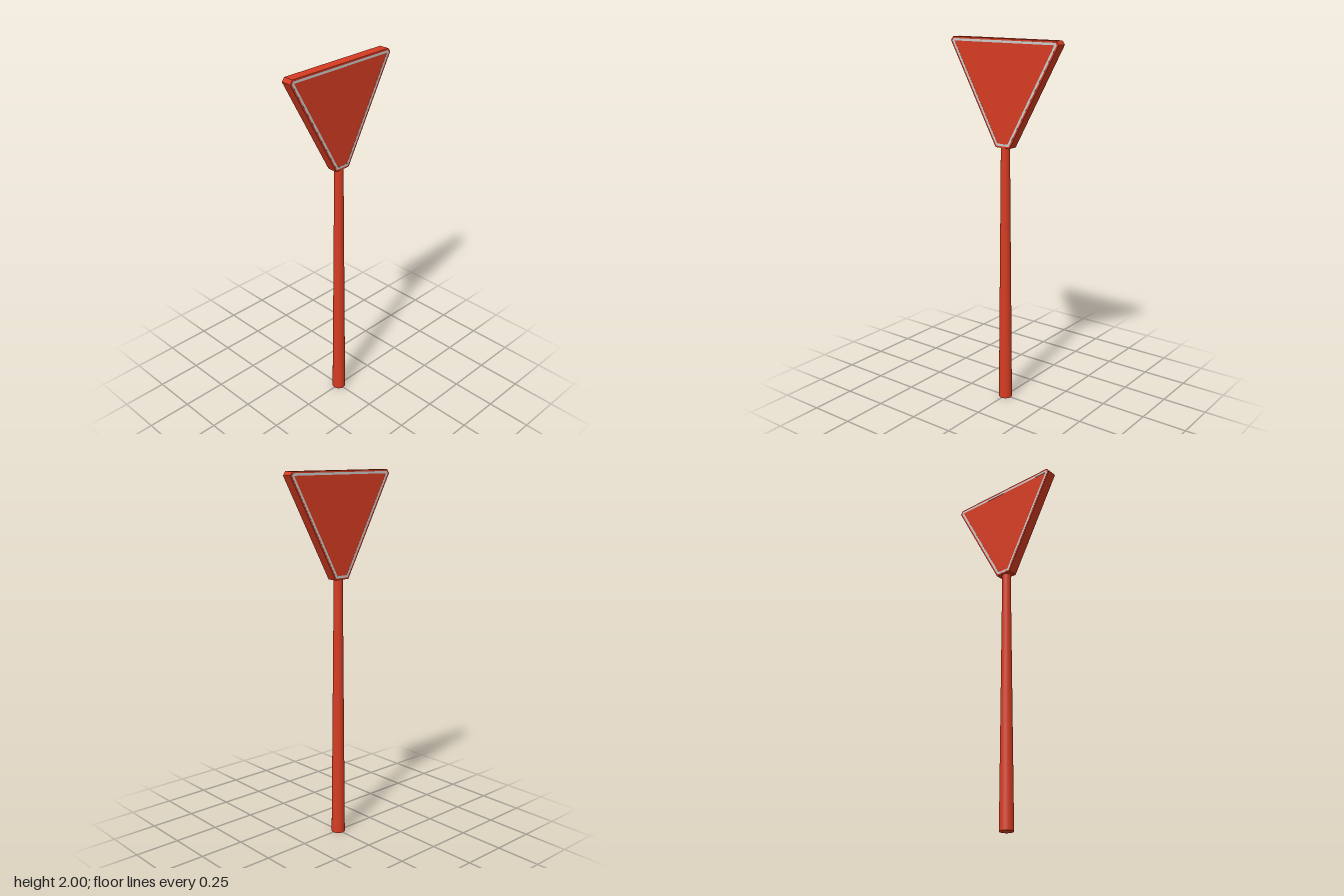
import * as THREE from 'three';

const red = new THREE.MeshStandardMaterial({ color: 0xd63c22 });
const pale = new THREE.MeshStandardMaterial({ color: 0xcccccc });

// Outline of the plate: inverted triangle with clipped corners, counter-clockwise
const outline = [
  [-0.045, 1.44], [0.045, 1.44], [0.34, 1.98],
  [0.325, 2], [-0.325, 2], [-0.34, 1.98],
].map(([x, y]) => new THREE.Vector2(x, y));

// Shrinks the outline by distance d with mitred corners
function inset(points, d) {
  const n = points.length;
  const normal = (a, b) => new THREE.Vector2(a.y - b.y, b.x - a.x).normalize();
  return points.map((p, i) => {
    const n1 = normal(points[(i + n - 1) % n], p);
    const n2 = normal(p, points[(i + 1) % n]);
    const m = n1.clone().add(n2);
    return p.clone().addScaledVector(m, d / (1 + n1.dot(n2)));
  });
}

// Extrudes a shape along x between x0 and x1
function slab(name, shape, x0, x1, material) {
  const geometry = new THREE.ExtrudeGeometry(shape, { depth: x1 - x0, bevelEnabled: false });
  geometry.rotateY(Math.PI / 2).translate(x0, 0, 0);
  const mesh = new THREE.Mesh(geometry, material);
  mesh.name = name;
  return mesh;
}

export function createModel() {
  const group = new THREE.Group();
  group.name = 'roadSign';

  // Tapered pole
  const pole = new THREE.Mesh(new THREE.CylinderGeometry(0.024, 0.0375, 1.45, 32), red);
  pole.position.y = 0.725;
  pole.name = 'pole';
  group.add(pole);

  // Thick sign plate
  const back = -0.03, front = 0.026, proud = 0.0006;
  group.add(slab('signPlate', new THREE.Shape(outline), back, front, red));

  // Thin pale border line on both faces
  const border = new THREE.Shape(inset(outline, 0.009));
  border.holes.push(new THREE.Path(inset(outline, 0.021)));
  group.add(slab('leftBorder', border, front - 0.002, front + proud, pale));
  group.add(slab('rightBorder', border, back - proud, back + 0.002, pale));

  return group;
}
